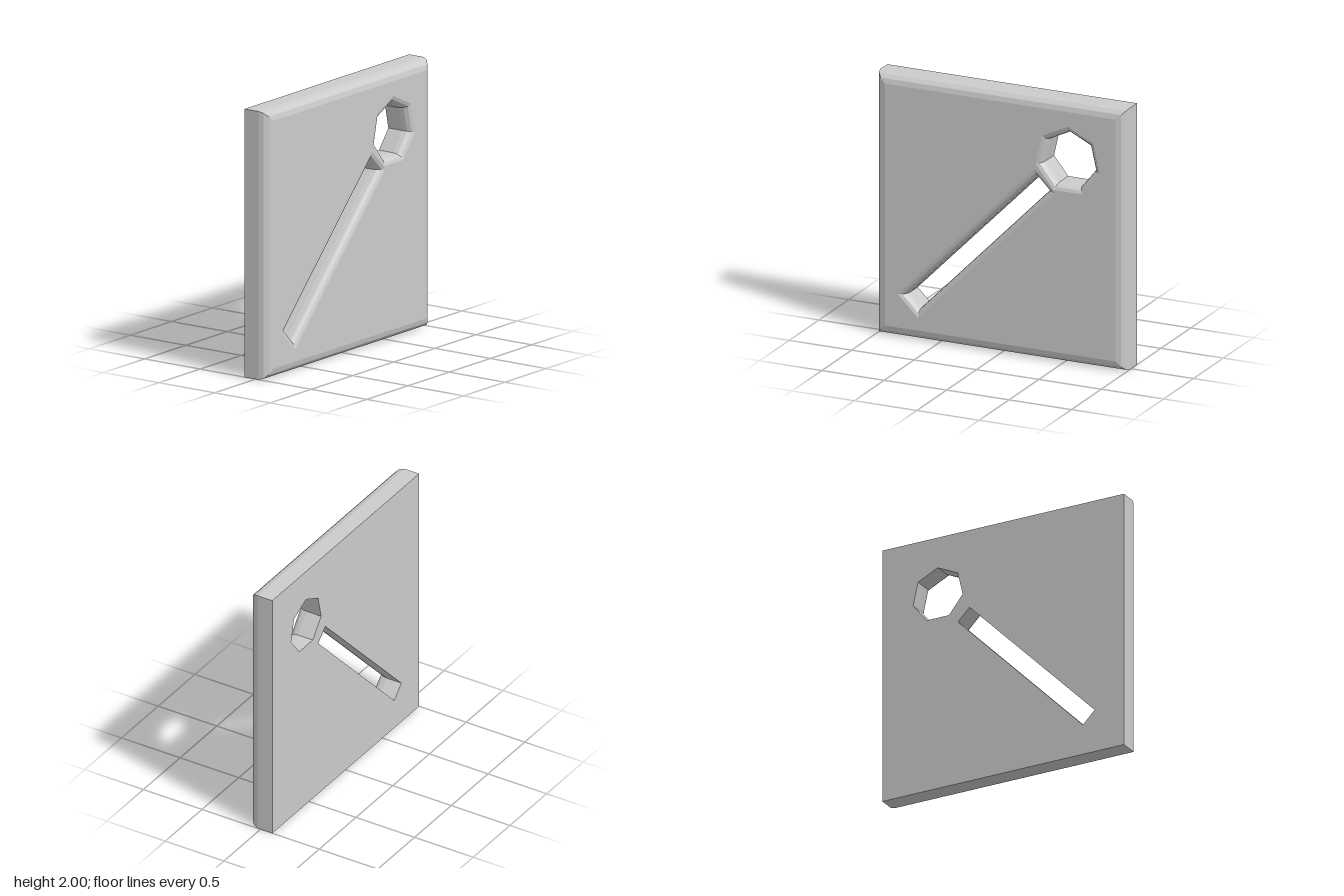
import * as THREE from 'three';

const HALF = 0.1; // half the plate thickness
const STEPS = 3; // facets in each rounded front edge

// Move a closed outline to its left by d with mitred corners
function offset(points, d) {
  const n = points.length;
  return points.map((p, i) => {
    const a = p.clone().sub(points[(i + n - 1) % n]).normalize();
    const b = points[(i + 1) % n].clone().sub(p).normalize();
    const na = new THREE.Vector2(-a.y, a.x);
    const nb = new THREE.Vector2(-b.y, b.x);
    const miter = na.clone().add(nb);
    return p.clone().addScaledVector(miter, d / (1 + na.dot(nb)));
  });
}

// Straight wall from the back, then a quarter-round to the front face
function edgeWall(outline, width, depth) {
  const rings = [{ pts: outline, z: -HALF }];
  for (let s = 0; s <= STEPS; s++) {
    const t = (s / STEPS) * Math.PI / 2;
    rings.push({ pts: offset(outline, width * (1 - Math.cos(t))), z: HALF - depth * (1 - Math.sin(t)) });
  }
  const pos = [];
  const put = (ring, i) => pos.push(ring.pts[i].x, ring.pts[i].y, ring.z);
  for (let r = 0; r + 1 < rings.length; r++) {
    const lo = rings[r], hi = rings[r + 1];
    for (let i = 0; i < outline.length; i++) {
      const j = (i + 1) % outline.length;
      put(lo, i); put(lo, j); put(hi, j);
      put(lo, i); put(hi, j); put(hi, i);
    }
  }
  const geo = new THREE.BufferGeometry();
  geo.setAttribute('position', new THREE.Float32BufferAttribute(pos, 3));
  geo.computeVertexNormals();
  return geo;
}

// Flat face with holes
function face(outer, holes) {
  const shape = new THREE.Shape(outer);
  holes.forEach((h) => shape.holes.push(new THREE.Path(h)));
  return new THREE.ShapeGeometry(shape);
}

export function createModel() {
  const group = new THREE.Group();
  group.name = 'pierced plate';
  const material = new THREE.MeshStandardMaterial({ color: 0xcccccc, flatShading: true });
  const add = (name, geo) => {
    const mesh = new THREE.Mesh(geo, material);
    mesh.name = name;
    group.add(mesh);
    return mesh;
  };
  const v = (x, y) => new THREE.Vector2(x, y);

  // Outer outline runs counter-clockwise, the holes clockwise
  const square = [v(-1, 0), v(1, 0), v(1, 2), v(-1, 2)];
  const heptagon = Array.from({ length: 7 }, (_, k) => {
    const a = Math.PI / 2 - (k * 2 * Math.PI) / 7;
    return v(0.54 + 0.21 * Math.cos(a), 1.55 + 0.21 * Math.sin(a));
  });
  const slot = [v(-0.757, 0.332), v(0.278, 1.385), v(0.374, 1.29), v(-0.66, 0.235)];

  const edges = [
    { name: 'outerEdge', pts: square, width: 0.075 },
    { name: 'heptagonHoleWall', pts: heptagon, width: 0.048 },
    { name: 'diagonalSlotWall', pts: slot, width: 0.046 },
  ];
  edges.forEach((e) => add(e.name, edgeWall(e.pts, e.width, 0.075)));

  // Front face joins the inner rims of the rounded edges
  const rims = edges.map((e) => offset(e.pts, e.width));
  add('frontFace', face(rims[0], rims.slice(1))).position.z = HALF;

  // Back face is sharp-edged; mirrored in x, then turned around
  const flip = (pts) => pts.map((p) => v(-p.x, p.y));
  const back = add('backFace', face(flip(square), [flip(heptagon), flip(slot)]));
  back.rotation.y = Math.PI;
  back.position.z = -HALF;

  return group;
}
